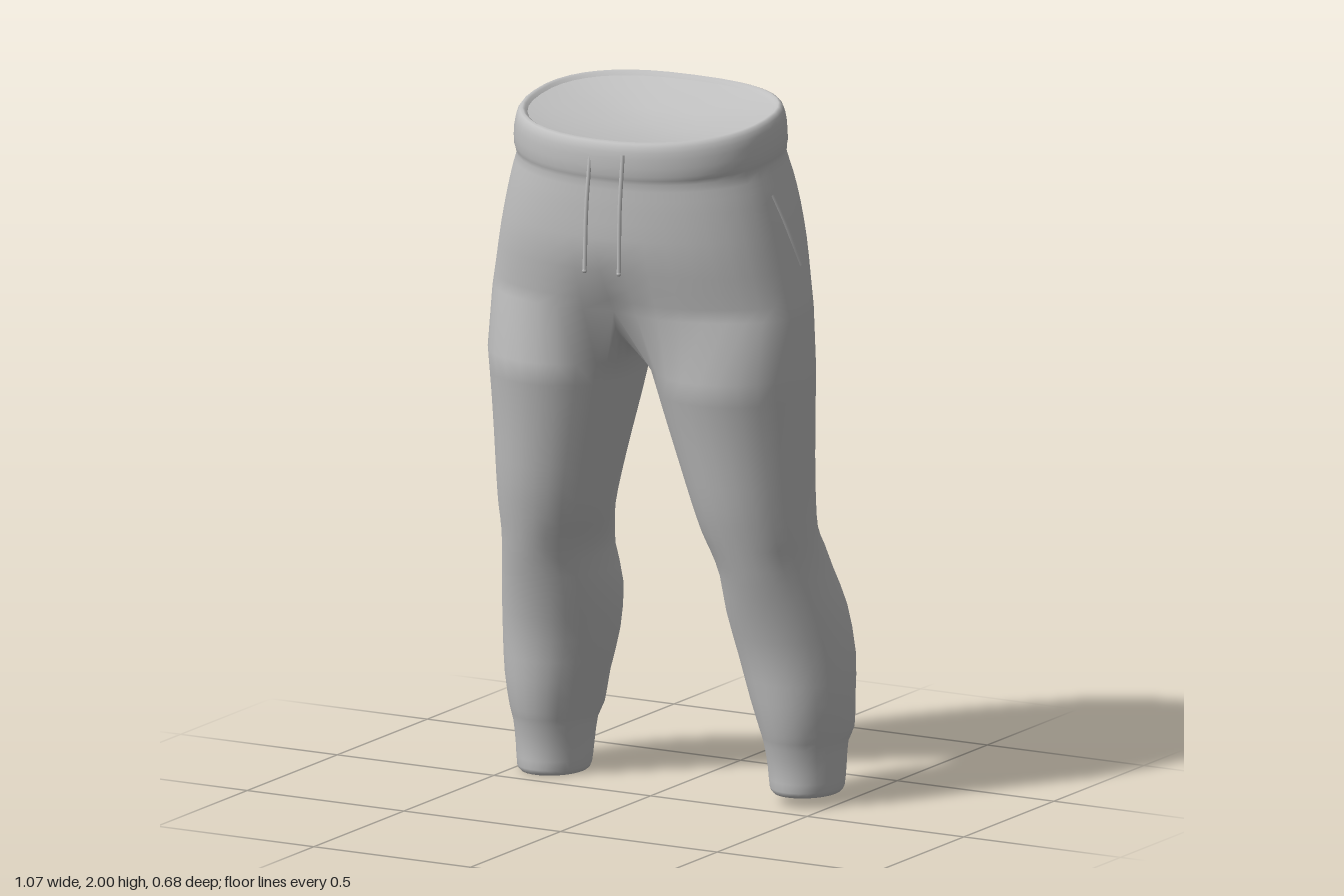
import * as THREE from 'three';

const HALF = 20;   // segments round one half of the hips
const INNER = 10;  // segments along the crotch, one per inner-leg strip
const WRAP = 0.87; // how far the hip half wraps round the thigh, in radians

// y at the middle, half width, front z, back z, tilt, front dip, back dip
const torsoRows = [
  [1.42, 0.477, 0.255, -0.28, 0, 0.05, 0.05],
  [1.5, 0.46, 0.275, -0.3, 0, 0.02, 0.04],
  [1.6, 0.44, 0.298, -0.32, 0, 0, 0.028],
  [1.7, 0.418, 0.306, -0.32, 0.02, 0, 0.012],
  [1.78, 0.398, 0.308, -0.303, 0.05, 0, 0],
  [1.835, 0.382, 0.308, -0.282, 0.08, 0, 0],
  [1.865, 0.389, 0.315, -0.274, 0.1, 0, 0],
  [1.92, 0.387, 0.317, -0.268, 0.12, 0, 0],
  [1.955, 0.378, 0.312, -0.262, 0.13, 0, 0],
  [1.967, 0.364, 0.298, -0.25, 0.13, 0, 0],
  [1.955, 0.35, 0.285, -0.238, 0.13, 0, 0],
];

// y, inner x, outer x, front z, back z
const legRows = [
  [1.25, 0.035, 0.485, 0.235, -0.25],
  [1.12, 0.07, 0.482, 0.205, -0.237],
  [1.0, 0.105, 0.48, 0.18, -0.225],
  [0.88, 0.14, 0.48, 0.155, -0.216],
  [0.79, 0.165, 0.482, 0.13, -0.216],
  [0.73, 0.185, 0.485, 0.112, -0.25],
  [0.66, 0.2, 0.495, 0.09, -0.28],
  [0.55, 0.196, 0.52, 0.053, -0.322],
  [0.42, 0.217, 0.535, 0.015, -0.335],
  [0.3, 0.25, 0.533, -0.003, -0.325],
  [0.21, 0.275, 0.523, -0.022, -0.33],
  [0.17, 0.288, 0.512, -0.035, -0.302],
  [0.1, 0.297, 0.508, -0.05, -0.29],
  [0.045, 0.304, 0.503, -0.052, -0.285],
  [0.03, 0.314, 0.493, -0.062, -0.275],
];

// Adds a smooth in-between row to each pair of rows
function refine(rows) {
  const curve = new THREE.CubicInterpolant(rows.map((r, i) => i), rows.flat(), rows[0].length);
  const out = [];
  for (let i = 0; i <= (rows.length - 1) * 2; i++) out.push(Array.from(curve.evaluate(i / 2)));
  return out;
}

const power = (v, e) => Math.sign(v) * Math.pow(Math.abs(v), e);

function torsoPoint([y, rx, zf, zb, tilt, dipF, dipB], a) {
  const c = Math.cos(a);
  const e = c > 0 ? 0.93 : 0.8; // the seat is squarer than the front
  const x = rx * power(Math.sin(a), e);
  const dip = Math.exp(-((x / 0.1) ** 2));
  const z = c > 0 ? zf * power(c, e) - dip * dipF : -zb * power(c, e) + dip * dipB;
  return [x, y - tilt * z, z];
}

function legPoint([y, xi, xo, zf, zb], a, side) {
  const drop = side < 0 ? 0.03 * Math.max(0, 1 - y) : 0; // right leg hangs a little lower
  return [
    side * ((xi + xo) / 2 + ((xo - xi) / 2) * Math.sin(a)),
    y - drop,
    (zf + zb) / 2 + ((zf - zb) / 2) * Math.cos(a),
  ];
}

function makeGeometry(points, index) {
  const g = new THREE.BufferGeometry();
  g.setAttribute('position', new THREE.Float32BufferAttribute(points.flat(), 3));
  g.setIndex(index);
  g.computeVertexNormals();
  return g;
}

// Shallow dished panel closing a ring
function makeCap(ring, depth, flip) {
  const n = ring.length;
  const mid = [0, 1, 2].map((k) => ring.reduce((s, p) => s + p[k], 0) / n);
  mid[1] += depth;
  const points = [...ring];
  const index = [];
  for (const s of [0.8, 0.4]) {
    for (const p of ring) {
      points.push([0, 1, 2].map((k) =>
        k === 1 ? mid[1] + (p[1] - mid[1] + depth) * s - depth * s * s : mid[k] + (p[k] - mid[k]) * s));
    }
  }
  points.push(mid);
  const tri = (a, b, c) => (flip ? index.push(a, c, b) : index.push(a, b, c));
  for (let i = 0; i < n; i++) {
    const j = (i + 1) % n;
    for (const o of [0, n]) {
      tri(o + i, o + j, o + n + j);
      tri(o + i, o + n + j, o + n + i);
    }
    tri(2 * n + i, 2 * n + j, 3 * n);
  }
  return makeGeometry(points, index);
}

export function createModel() {
  const group = new THREE.Group();
  const fabric = new THREE.MeshStandardMaterial({ color: 0xc0c0c0 });
  fabric.name = 'greyFabric';
  const add = (geometry, name) => {
    const mesh = new THREE.Mesh(geometry, fabric);
    mesh.name = name;
    group.add(mesh);
  };

  const points = [];
  const index = [];
  const push = (p) => points.push(p) - 1;
  const bridge = (low, high, flip) => {
    low.forEach((a, i) => {
      const j = (i + 1) % low.length;
      const [b, c, d] = [low[j], high[j], high[i]];
      if (flip) index.push(a, c, b, a, d, c);
      else index.push(a, b, c, a, c, d);
    });
  };

  // Hips and waistband
  const rings = refine(torsoRows).map((row) =>
    Array.from({ length: HALF * 2 }, (_, i) => push(torsoPoint(row, (i * Math.PI) / HALF))));
  for (let r = 1; r < rings.length; r++) bridge(rings[r - 1], rings[r], false);
  add(makeCap(rings.at(-1).map((i) => points[i]), -0.04, false), 'waistOpening');

  // Crotch seam, from back to front
  const hip = rings[0];
  const front = points[hip[0]];
  const back = points[hip[HALF]];
  const crotch = [];
  for (let k = 1; k < INNER; k++) {
    const t = k / INNER;
    const mix = (1 - Math.cos(Math.PI * t)) / 2;
    crotch.push(push([0, 1.42 - 0.125 * Math.sin(Math.PI * t) ** 0.8, back[2] + (front[2] - back[2]) * mix]));
  }

  // Legs, each joined to half of the hip ring and to the crotch seam
  for (const side of [1, -1]) {
    let high = [];
    for (let j = 0; j <= HALF; j++) high.push(hip[side > 0 ? j : (2 * HALF - j) % (2 * HALF)]);
    high.push(...crotch);
    for (const row of refine(legRows)) {
      const low = high.map((_, j) => {
        const a = j <= HALF
          ? -WRAP + (j / HALF) * (Math.PI + 2 * WRAP)
          : Math.PI + WRAP + ((j - HALF) / INNER) * (Math.PI - 2 * WRAP);
        return push(legPoint(row, a, side));
      });
      bridge(low, high, side < 0);
      high = low;
    }
    add(makeCap(high.map((i) => points[i]), 0.03, side > 0), side > 0 ? 'leftCuffOpening' : 'rightCuffOpening');
  }
  add(makeGeometry(points, index), 'trousers');

  // Slanted pocket edges
  for (const side of [1, -1]) {
    const path = new THREE.CatmullRomCurve3([
      new THREE.Vector3(side * 0.398, 1.76, 0.02),
      new THREE.Vector3(side * 0.427, 1.65, -0.02),
      new THREE.Vector3(side * 0.443, 1.55, -0.06),
    ]);
    add(new THREE.TubeGeometry(path, 12, 0.008, 6), side > 0 ? 'leftPocketEdge' : 'rightPocketEdge');
  }

  // Drawstrings
  for (const [x, z, name] of [[-0.017, 0.337, 'rightDrawstring'], [0.086, 0.326, 'leftDrawstring']]) {
    const path = new THREE.CatmullRomCurve3([
      new THREE.Vector3(x + 0.003, 1.895, 0.309),
      new THREE.Vector3(x, 1.75, (z + 0.315) / 2),
      new THREE.Vector3(x, 1.56, z),
    ]);
    add(new THREE.TubeGeometry(path, 12, 0.006, 8), name);
    const tip = new THREE.SphereGeometry(0.007, 8, 6);
    tip.translate(x, 1.56, z);
    add(tip, name + 'Tip');
  }
  return group;
}
